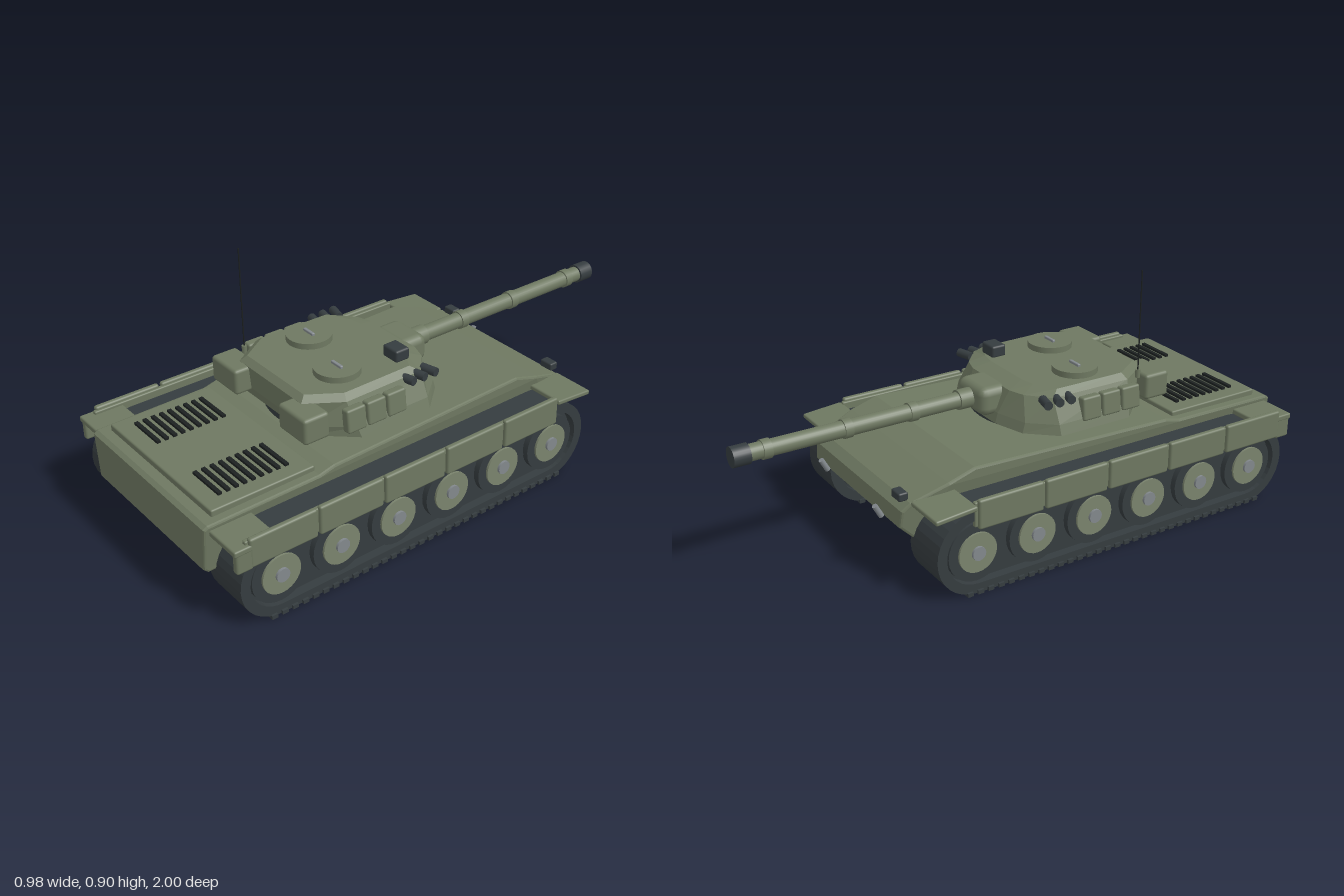
import * as THREE from 'three';
import { RoundedBoxGeometry } from 'three/addons/geometries/RoundedBoxGeometry.js';

const paint = (name, color) => {
  const m = new THREE.MeshStandardMaterial({ color });
  m.name = name;
  return m;
};

export function createModel() {
  const green = paint('olive green', 0x6e7861);
  const discGreen = paint('wheel green', 0x7a836d);
  const dark = paint('dark rubber', 0x353c3f);
  const black = paint('black', 0x1c2020);
  const grey = paint('steel grey', 0x82888c);
  const root = new THREE.Group();
  root.name = 'tank';

  const add = (name, geo, mat, x = 0, y = 0, z = 0, parent = root) => {
    const m = new THREE.Mesh(geo, mat);
    m.name = name;
    m.position.set(x, y, z);
    parent.add(m);
    return m;
  };
  const rbox = (w, h, d, r = 0.008) => new RoundedBoxGeometry(w, h, d, 2, r);
  const cyl = (r, h, n = 24, r2 = r) => new THREE.CylinderGeometry(r, r2, h, n);
  const cylX = (r, h, n = 24) => cyl(r, h, n).rotateZ(Math.PI / 2);
  const cylZ = (r, h, n = 24) => cyl(r, h, n).rotateX(Math.PI / 2);
  // Extrudes a side profile (u = -z, v = y) across x, centred
  const extrudeX = (shape, width, bevel, segs = 8) => {
    const g = new THREE.ExtrudeGeometry(shape, {
      depth: width - 2 * bevel, bevelEnabled: bevel > 0, bevelSize: bevel,
      bevelThickness: bevel, bevelOffset: -bevel, bevelSegments: 2, curveSegments: segs,
    });
    return g.translate(0, 0, bevel - width / 2).rotateY(Math.PI / 2);
  };

  // Hull: side profile, narrowed towards the belly and the nose
  const hullProfile = [[-0.98, 0.16], [-0.995, 0.175], [-0.995, 0.335], [-0.98, 0.345], [-0.56, 0.35],
    [-0.5, 0.365], [0.3, 0.39], [0.4, 0.36], [0.53, 0.312], [0.56, 0.285], [0.565, 0.225], [0.5, 0.16]];
  const hull = extrudeX(new THREE.Shape(hullProfile.map(p => new THREE.Vector2(...p))), 0.7, 0.008);
  const hp = hull.attributes.position;
  for (let i = 0; i < hp.count; i++) {
    const low = Math.max(0, (0.34 - hp.getY(i)) / 0.18);
    const nose = Math.max(0, (-0.4 - hp.getZ(i)) / 0.165);
    hp.setX(i, hp.getX(i) * (1 - 0.05 * low - 0.08 * nose));
  }
  hull.computeVertexNormals();
  add('hull', hull, green);

  // Engine deck with two slatted grilles
  add('engineDeck', rbox(0.63, 0.03, 0.39, 0.006), green, 0, 0.353, 0.75);
  for (const s of [-1, 1])
    for (let i = 0; i < 9; i++)
      add('grilleSlat', new THREE.BoxGeometry(0.15, 0.012, 0.014), black, s * 0.185, 0.371, 0.625 + i * 0.0315);

  // Running gear on both sides
  const stadium = (C, r) => {
    const s = new C();
    s.absarc(0.365, 0.155, r, -Math.PI / 2, Math.PI / 2, false);
    s.absarc(-0.8, 0.155, r, Math.PI / 2, Math.PI * 1.5, false);
    s.closePath();
    return s;
  };
  const belt = stadium(THREE.Shape, 0.154);
  belt.holes.push(stadium(THREE.Path, 0.118));
  const beltGeo = extrudeX(belt, 0.175, 0);
  const coreGeo = extrudeX(stadium(THREE.Shape, 0.12), 0.11, 0);
  const tyreGeo = cylX(0.107, 0.155, 28);
  const discGeo = cylX(0.072, 0.01, 28);
  const padGeo = new THREE.BoxGeometry(0.192, 0.014, 0.022);
  for (const s of [-1, 1]) {
    const side = new THREE.Group();
    side.name = s > 0 ? 'leftRunningGear' : 'rightRunningGear';
    root.add(side);
    add('trackBelt', beltGeo, dark, s * 0.3835, 0, 0, side);
    add('trackCore', coreGeo, dark, s * 0.3835, 0, 0, side);
    for (let i = 0; i < 32; i++) add('trackPad', padGeo, dark, s * 0.3835, 0.007, -0.4 + i * 0.04, side);
    for (let i = 0; i < 6; i++) {
      const z = 0.8 - i * 0.233;
      add('roadWheelTyre', tyreGeo, dark, s * 0.3835, 0.15, z, side);
      add('roadWheelDisc', discGeo, discGreen, s * 0.464, 0.15, z, side);
      add('roadWheelHub', cylX(0.025, 0.02, 16), grey, s * 0.468, 0.15, z, side);
    }
    // Skirt rail with five overlapping panels
    add('skirtRail', rbox(0.018, 0.09, 1.31, 0.005), green, s * 0.466, 0.293, 0.275, side);
    for (let i = 0; i < 5; i++)
      add('skirtPanel', rbox(0.022, 0.106, 0.25, 0.008), green, s * 0.477, 0.295, -0.245 + i * 0.26, side);
    // Mudguards at both ends
    add('rearFender', rbox(0.16, 0.022, 0.155, 0.006), green, s * 0.408, 0.316, 0.898, side);
    add('rearFenderFlap', rbox(0.026, 0.085, 0.06, 0.008), green, s * 0.474, 0.28, 0.94, side);
    add('frontFender', rbox(0.165, 0.018, 0.155, 0.006), green, s * 0.405, 0.316, -0.452, side).rotation.x = -0.08;
    // Headlights and tow hooks
    add('headlight', rbox(0.055, 0.03, 0.035, 0.006), dark, s * 0.27, 0.325, -0.54, side);
    add('towHook', cyl(0.01, 0.05, 10), grey, s * 0.2, 0.245, -0.585, side).rotation.x = -0.5;
  }

  // Turret shell lofted through mirrored half outlines, front to back
  const turret = new THREE.Group();
  turret.name = 'turret';
  root.add(turret);
  const rings = [
    [0.393, [[0.1, -0.065], [0.22, -0.03], [0.31, 0.07], [0.31, 0.36], [0.19, 0.49]]],
    [0.43, [[0.1, -0.055], [0.22, -0.02], [0.298, 0.07], [0.298, 0.37], [0.19, 0.5]]],
    [0.515, [[0.12, -0.02], [0.18, 0], [0.258, 0.07], [0.262, 0.385], [0.18, 0.507]]],
    [0.535, [[0.1, 0.045], [0.155, 0.055], [0.235, 0.1], [0.238, 0.375], [0.165, 0.485]]],
  ].map(([y, half]) => [...half, ...half.map(([x, z]) => [-x, z]).reverse()]
    .map(([x, z]) => [x, y, z]));
  const verts = [];
  const tri = (...pts) => pts.forEach(p => verts.push(...p));
  const n = rings[0].length;
  for (let k = 0; k < rings.length - 1; k++)
    for (let i = 0; i < n; i++) {
      const j = (i + 1) % n, a = rings[k], b = rings[k + 1];
      tri(a[i], b[i], a[j]);
      tri(b[i], b[j], a[j]);
    }
  const roof = rings[rings.length - 1], floor = rings[0];
  for (let i = 1; i < n - 1; i++) {
    tri(roof[0], roof[i + 1], roof[i]);
    tri(floor[0], floor[i], floor[i + 1]);
  }
  const shell = new THREE.BufferGeometry();
  shell.setAttribute('position', new THREE.Float32BufferAttribute(verts, 3));
  shell.computeVertexNormals();
  add('turretShell', shell, green, 0, 0, 0, turret);
  add('turretRing', cyl(0.275, 0.035, 40), dark, 0, 0.38, 0.21, turret);

  for (const s of [-1, 1]) {
    add('rearStowageBox', rbox(0.15, 0.095, 0.1, 0.012), green, s * 0.2, 0.467, 0.512, turret);
    for (let i = 0; i < 3; i++) {
      add('sidePanel', rbox(0.035, 0.085, 0.077, 0.008), green, s * 0.287, 0.462, 0.205 + i * 0.084, turret)
        .rotation.z = s * 0.1;
      // Smoke launchers angled outwards
      const tube = add('smokeLauncher', cylX(0.016, 0.06, 14), dark, s * 0.262, 0.508, 0.035 + i * 0.048, turret);
      tube.rotation.y = s * 0.25;
    }
  }

  // Roof hatches, sight and antenna
  for (const [x, z] of [[-0.13, 0.25], [0.112, 0.31]]) {
    add('hatch', cyl(0.082, 0.024, 36), green, x, 0.545, z, turret);
    add('hatchHandle', rbox(0.056, 0.012, 0.012, 0.003), grey, x, 0.56, z, turret);
  }
  add('sight', rbox(0.075, 0.045, 0.058, 0.008), dark, 0.158, 0.554, 0.094, turret);
  add('antenna', cyl(0.0025, 0.38, 8), black, -0.237, 0.71, 0.45, turret);
  add('antennaBase', cyl(0.009, 0.03, 10), green, -0.237, 0.515, 0.45, turret);

  // Gun with mantlet, barrel bands and muzzle
  const gunY = 0.467;
  add('mantlet', rbox(0.172, 0.105, 0.12, 0.03), green, 0, gunY, -0.05, turret);
  add('barrel', cylZ(0.029, 0.88), green, 0, gunY, -0.52, turret);
  add('barrelSleeve', cylZ(0.036, 0.06), green, 0, gunY, -0.13, turret);
  for (const z of [-0.34, -0.59, -0.88]) add('barrelBand', cylZ(0.034, 0.03), green, 0, gunY, z, turret);
  add('muzzle', cylZ(0.036, 0.06), dark, 0, gunY, -0.97, turret);

  return root;
}
